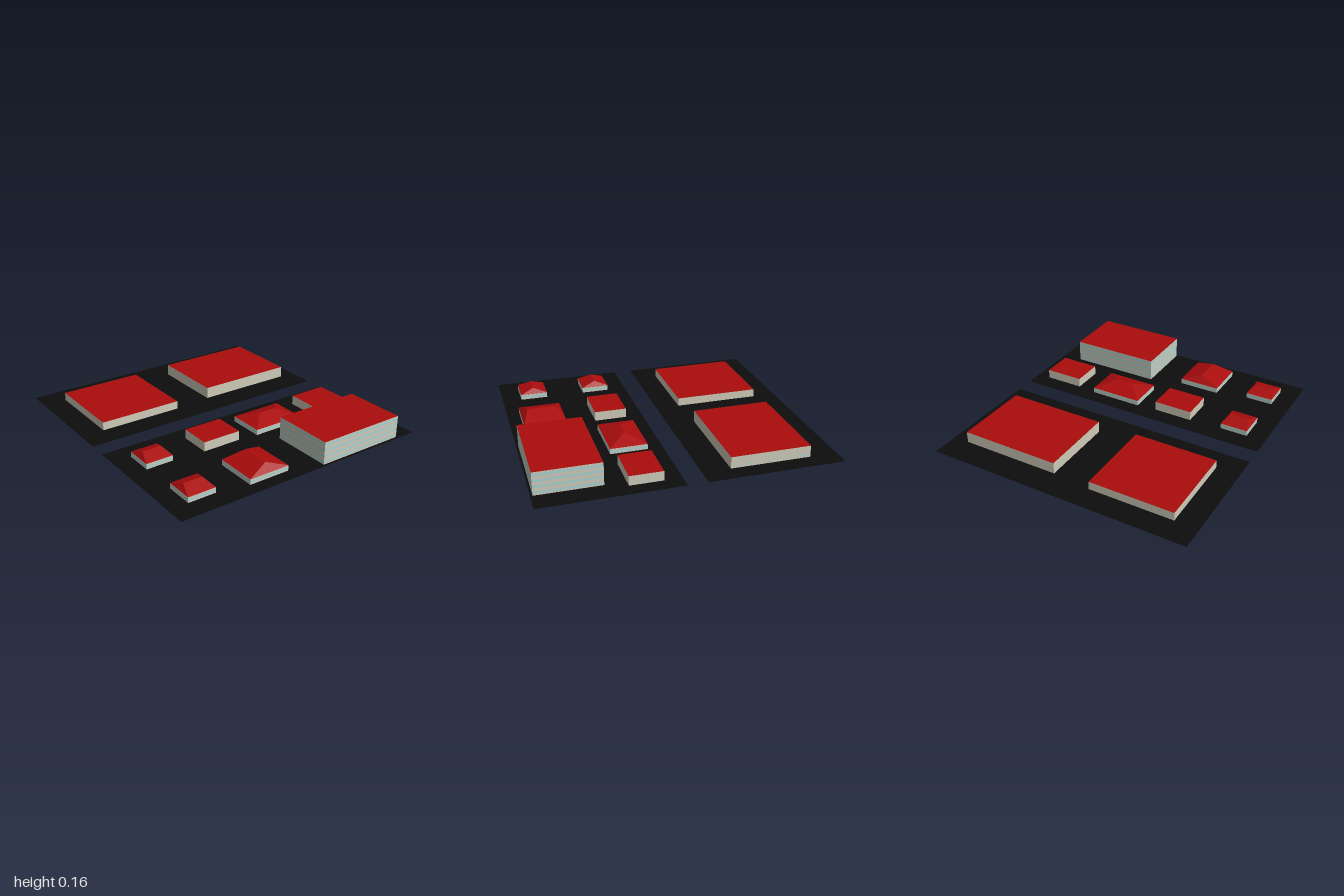
import * as THREE from 'three';

const mat = (color) => new THREE.MeshStandardMaterial({ color, flatShading: true, side: THREE.DoubleSide });

export function createModel() {
  const model = new THREE.Group();
  const wall = mat(0xcfccba), glass = mat(0xa9d3d3), red = mat(0xaa0c0c), black = mat(0x0d0d0d);

  // Box given by its limits; topMaterial colours the upper face
  function block(name, parent, x0, x1, y0, y1, z0, z1, side, topMaterial = side) {
    const geo = new THREE.BoxGeometry(x1 - x0, y1 - y0, z1 - z0);
    const mesh = new THREE.Mesh(geo, [side, side, topMaterial, side, side, side]);
    mesh.position.set((x0 + x1) / 2, (y0 + y1) / 2, (z0 + z1) / 2);
    mesh.name = name;
    parent.add(mesh);
  }

  // Walls stacked from alternating masonry and window strips
  function walls(parent, x0, x1, z0, z1, h, floors) {
    const step = h / floors;
    for (let i = 0; i < floors; i++) {
      const y = i * step;
      const cuts = [Math.max(y, 0.001), y + step * 0.3, y + step * 0.7, y + step];
      for (let k = 0; k < 3; k++) {
        const top = i === floors - 1 && k === 2 ? red : wall;
        block(k === 1 ? 'windowStrip' : 'wallStrip', parent, x0, x1, cuts[k], cuts[k + 1], z0, z1,
          k === 1 ? glass : wall, top);
      }
    }
  }

  // Hipped roof; the ridge runs from (ax, az) to (bx, bz)
  function hipRoof(parent, x0, x1, z0, z1, y, top, [ax, az], [bx, bz]) {
    const corners = [[x0, y, z0], [x0, y, z1], [x1, y, z1], [x1, y, z0]];
    const a = [ax, top, az], b = [bx, top, bz];
    const [nw, sw, se, ne] = corners;
    const faces = az === bz
      ? [[nw, sw, a], [se, ne, b], [sw, se, b], [sw, b, a], [ne, nw, a], [ne, a, b]]
      : [[ne, nw, a], [sw, se, b], [nw, sw, b], [nw, b, a], [se, ne, a], [se, a, b]];
    const geo = new THREE.BufferGeometry();
    geo.setAttribute('position', new THREE.Float32BufferAttribute(faces.flat(2), 3));
    geo.computeVertexNormals();
    const mesh = new THREE.Mesh(geo, red);
    mesh.name = 'hipRoof';
    parent.add(mesh);
  }

  function building(name) {
    const g = new THREE.Group();
    g.name = name;
    model.add(g);
    return g;
  }

  // Two paved plots separated by a gap
  block('backPlot', model, -0.935, 0.935, 0, 0.002, -1, -0.07, black);
  block('frontPlot', model, -0.935, 0.935, 0, 0.002, 0.065, 1, black);

  // Flat-roofed halls and sheds: name, x0, x1, z0, z1, height
  for (const [name, x0, x1, z0, z1, h] of [
    ['lowHall', -0.77, -0.17, -0.835, -0.235, 0.06],
    ['highHall', 0.11, 0.82, -0.81, -0.26, 0.083],
    ['centreShed', -0.375, -0.095, 0.185, 0.41, 0.068],
    ['leftShed', 0.56, 0.84, 0.185, 0.41, 0.068],
  ]) block(name, building(name + 'Group'), x0, x1, 0.001, h, z0, z1, wall, red);

  // Small windows in the side of the high hall
  for (const [z, w] of [[-0.38, 0.012], [-0.52, 0.012], [-0.66, 0.012], [-0.765, 0.04]])
    block('hallWindow', model, 0.818, 0.821, 0.01, 0.03, z - w / 2, z + w / 2, glass);

  // Four-storey block
  walls(building('officeBlock'), 0.14, 0.79, 0.55, 0.985, 0.16, 4);

  // Hipped houses: name, x0, x1, z0, z1, ridge height, ridge ends
  for (const [name, x0, x1, z0, z1, top, a, b] of [
    ['backCottage', -0.8, -0.605, 0.2, 0.395, 0.076, [-0.77, 0.297], [-0.635, 0.297]],
    ['frontCottage', -0.8, -0.605, 0.67, 0.865, 0.076, [-0.77, 0.767], [-0.635, 0.767]],
    ['wideHouse', 0.045, 0.42, 0.17, 0.425, 0.085, [0.17, 0.298], [0.295, 0.298]],
    ['squareHouse', -0.385, -0.09, 0.617, 0.912, 0.09, [-0.237, 0.665], [-0.237, 0.865]],
  ]) {
    const g = building(name);
    walls(g, x0, x1, z0, z1, 0.04, 1);
    hipRoof(g, x0, x1, z0, z1, 0.041, top, a, b);
  }
  return model;
}
